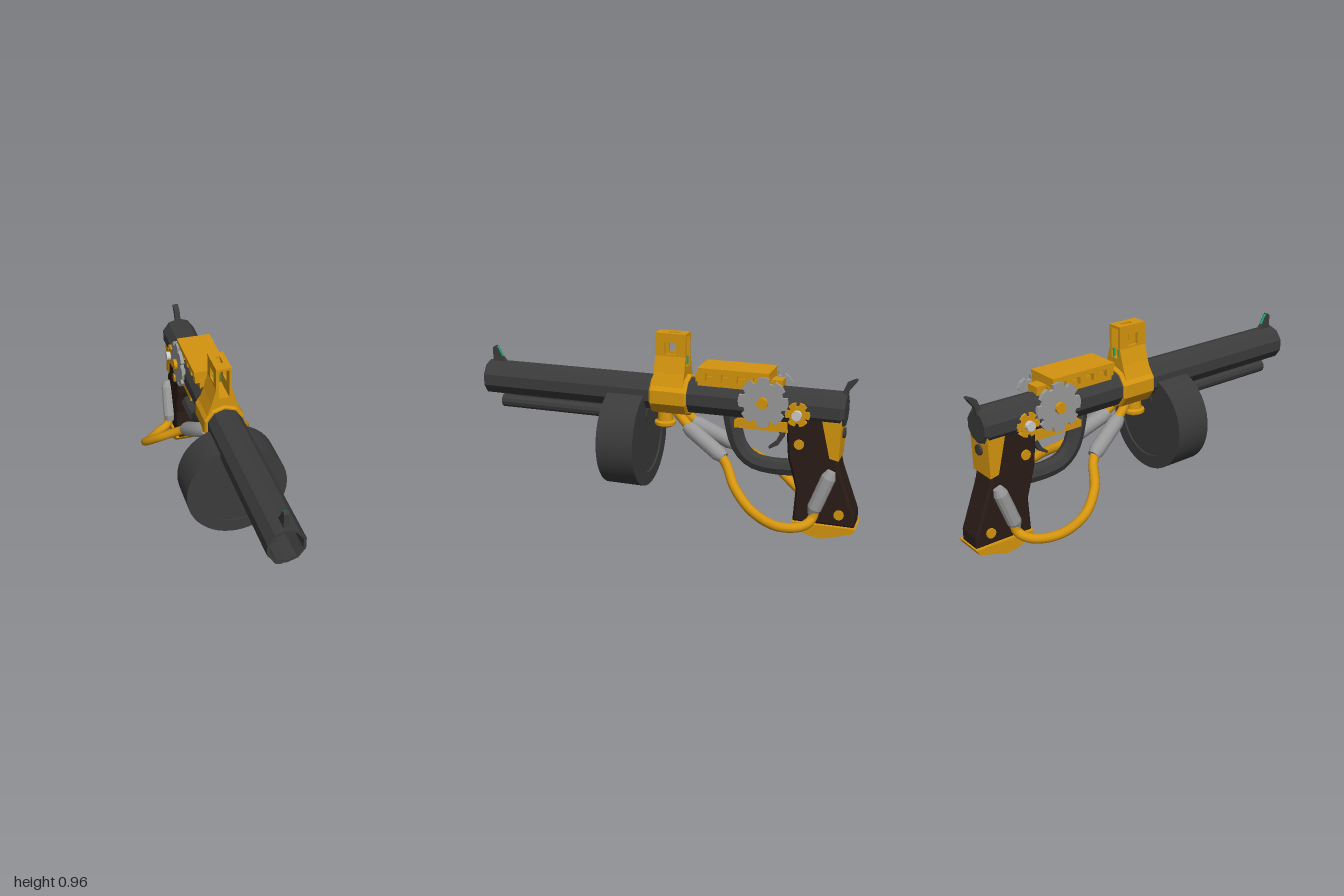
import * as THREE from 'three';
import { toCreasedNormals } from 'three/addons/utils/BufferGeometryUtils.js';

const mat = (color, smooth) => {
  const m = new THREE.MeshStandardMaterial({ color, flatShading: !smooth });
  m.color.set(color);
  return m;
};
const GOLD = 0xd4940e, DARK = 0x3b3b3b, BROWN = 0x2a1c17, GREY = 0x999999, GREEN = 0x20a870;

export function createModel() {
  const model = new THREE.Group();
  const v = (x, y, z) => new THREE.Vector3(x, y, z);

  const add = (name, geo, color, smooth = false) => {
    const mesh = new THREE.Mesh(smooth ? toCreasedNormals(geo, 0.6) : geo, mat(color, smooth));
    mesh.name = name;
    model.add(mesh);
    return mesh;
  };
  const toShape = (pts, holes = []) => {
    const s = new THREE.Shape(pts.map(p => new THREE.Vector2(...p)));
    holes.forEach(h => s.holes.push(new THREE.Path(h.map(p => new THREE.Vector2(...p)))));
    return s;
  };
  const rect = (a0, b0, a1, b1) => [[a0, b0], [a1, b0], [a1, b1], [a0, b1]];
  // Side profile in (z, y), given a width along x
  const side = (pts, width, x = 0, holes = [], bevel = 0) => {
    const depth = width - 2 * bevel;
    return new THREE.ExtrudeGeometry(toShape(pts, holes), {
      depth, bevelEnabled: bevel > 0, bevelSize: bevel, bevelThickness: bevel,
      bevelOffset: -bevel, bevelSegments: 1,
    }).translate(0, 0, -depth / 2).rotateY(-Math.PI / 2).translate(x, 0, 0);
  };
  const box = (w, h, d, x, y, z) => new THREE.BoxGeometry(w, h, d).translate(x, y, z);
  // Turned profile of [radius, z] points about a lengthwise axis
  const turned = (pts, sides, y) => new THREE.LatheGeometry(
    pts.map(p => new THREE.Vector2(...p)), sides).rotateX(Math.PI / 2).translate(0, y, 0);
  // Cylinder lying across the model
  const pin = (r, w, x, y, z, sides = 12) => new THREE.CylinderGeometry(r, r, w, sides)
    .rotateZ(Math.PI / 2).translate(x, y, z);
  const tube = (pts, r, seg = 32, sides = 12) => new THREE.TubeGeometry(
    new THREE.CatmullRomCurve3(pts), seg, r, sides);
  // Capped sleeve with tapered ends from a to b
  const sleeve = (a, b, r, end) => {
    const d = b.clone().sub(a), L = d.length();
    const pts = [[0, 0], [end, 0], [r, 0.035], [r, L - 0.035], [end, L], [0, L]];
    const g = new THREE.LatheGeometry(pts.map(p => new THREE.Vector2(...p)), 12);
    g.applyQuaternion(new THREE.Quaternion().setFromUnitVectors(v(0, 1, 0), d.normalize()));
    return g.translate(a.x, a.y, a.z);
  };
  const gear = (teeth, r0, r1, cz, cy) => {
    const pts = [];
    for (let i = 0; i < teeth; i++) {
      [[-0.32, r1], [0, r1 * 1.02], [0.32, r1], [0.38, r0], [0.62, r0]].forEach(([f, r]) => {
        const a = ((i + f) / teeth) * Math.PI * 2;
        pts.push([cz + r * Math.cos(a), cy + r * Math.sin(a)]);
      });
    }
    return pts;
  };

  // Barrel: ten-sided, hollow, with a chamfered rear
  add('barrel', turned([[0, -0.91], [0.075, -0.91], [0.0925, -0.89], [0.0925, 1],
    [0.079, 1], [0.079, -0.3], [0, -0.3]], 10, 0.65), DARK);
  add('underTube', turned([[0, 0.1], [0.036, 0.1], [0.036, 0.93], [0.032, 0.93],
    [0.032, 0.9], [0, 0.9]], 12, 0.522), DARK);
  add('underRib', box(0.024, 0.05, 0.75, 0, 0.555, 0.5), DARK);

  // Drum with a shallow dish on each face
  add('drum', turned([[0, 0.105], [0.19, 0.105], [0.19, 0.095], [0.258, 0.095], [0.258, 0.29],
    [0.19, 0.29], [0.19, 0.28], [0, 0.28]], 48, 0.405), DARK, true);

  // Sights and hammer
  add('frontSight', side([[0.9, 0.73], [0.98, 0.73], [0.98, 0.81], [0.965, 0.82],
    [0.95, 0.805], [0.93, 0.765]].reverse(), 0.024), DARK);
  add('frontSightDot', side([[0.925, 0.765], [0.935, 0.765], [0.958, 0.815],
    [0.945, 0.805]], 0.012), GREEN);
  add('hammer', side([[-0.86, 0.7], [-0.91, 0.7], [-0.915, 0.745], [-0.955, 0.8],
    [-0.945, 0.806], [-0.905, 0.785], [-0.885, 0.735]], 0.03), DARK);

  // Collar around the barrel, with the sight tower on top
  add('collar', turned([[0.09, -0.13], [0.1, -0.13], [0.108, -0.12], [0.108, 0.055], [0.1, 0.065],
    [0.09, 0.065], [0.09, -0.13]], 10, 0.65), GOLD);
  const tower = toShape([[-0.1, 0.67], [-0.06, 0.71], [0.06, 0.71], [0.1, 0.67], [0.063, 0.77],
    [0.04, 0.85], [0.027, 0.85], [0.027, 0.8], [-0.027, 0.8], [-0.027, 0.85], [-0.04, 0.85],
    [-0.063, 0.77]]);
  add('towerBase', new THREE.ExtrudeGeometry(tower, { depth: 0.16, bevelEnabled: false })
    .translate(0, 0, -0.11), GOLD);
  for (const s of [1, -1]) {
    add('towerWall', side(rect(-0.11, 0.85, 0.05, 0.965), 0.013, s * 0.0335,
      [rect(-0.06, 0.86, 0, 0.92)]), GOLD);
    add('rearSightDot', box(0.008, 0.05, 0.01, s * 0.019, 0.82, -0.1), GREEN);
  }
  const roof = toShape(rect(-0.04, -0.05, 0.04, 0.11), [rect(-0.012, 0.01, 0.012, 0.07)]);
  add('towerRoof', new THREE.ExtrudeGeometry(roof, { depth: 0.013, bevelEnabled: false })
    .rotateX(-Math.PI / 2).translate(0, 0.952, 0), GOLD);
  add('clampKnob', new THREE.LatheGeometry([[0, 0.475], [0.04, 0.475], [0.055, 0.485], [0.055, 0.5],
    [0.04, 0.507], [0.036, 0.555], [0.025, 0.56], [0.025, 0.62], [0, 0.62]]
    .map(p => new THREE.Vector2(...p)), 16).translate(0, 0, 0.01), GOLD, true);

  // Slotted top rail
  add('railSpine', box(0.07, 0.05, 0.44, 0, 0.75, -0.38), GOLD);
  add('railBase', box(0.12, 0.05, 0.37, 0, 0.745, -0.365), GOLD);
  add('railCore', box(0.1, 0.06, 0.36, 0, 0.77, -0.365), GOLD);
  add('railTop', box(0.18, 0.025, 0.36, 0, 0.805, -0.365), GOLD);
  for (let i = 0; i < 5; i++)
    add('railTooth', box(0.17, 0.045, 0.04, 0, 0.775, -0.205 - i * 0.08), GOLD);

  // Frame, trigger and guard
  add('framePlate', side([[-0.37, 0.525], [-0.37, 0.56], [-0.42, 0.575], [-0.72, 0.575],
    [-0.76, 0.56], [-0.76, 0.525]], 0.13), GOLD);
  add('triggerGuard', tube([v(0, 0.6, -0.335), v(0, 0.52, -0.35), v(0, 0.41, -0.385),
    v(0, 0.345, -0.45), v(0, 0.325, -0.54), v(0, 0.33, -0.7)], 0.045, 14, 8), DARK);
  add('trigger', side([[-0.58, 0.54], [-0.62, 0.54], [-0.61, 0.48], [-0.585, 0.44], [-0.54, 0.415],
    [-0.535, 0.425], [-0.57, 0.455], [-0.59, 0.495]], 0.03), DARK);

  // Grip with gold butt cap and back plate
  add('grip', side([[-0.63, 0.58], [-0.645, 0.4], [-0.69, 0.24], [-0.68, 0.07], [-0.985, 0.07],
    [-0.985, 0.13], [-0.9, 0.36], [-0.87, 0.48], [-0.81, 0.62]], 0.14, 0, [], 0.012), BROWN);
  add('buttCap', side([[-0.675, 0.07], [-0.7, 0.04], [-0.76, 0.01], [-0.83, 0], [-0.98, 0.045],
    [-0.995, 0.072]], 0.16), GOLD);
  add('backPlate', side([[-0.8, 0.63], [-0.85, 0.42], [-0.895, 0.41], [-0.9, 0.63]], 0.15), GOLD);
  add('backScrew', new THREE.CylinderGeometry(0.026, 0.026, 0.02, 12)
    .rotateX(Math.PI / 2).translate(0, 0.535, -0.9), DARK);

  for (const s of [1, -1]) {
    // Gears and their pins
    add('largeGear', side(gear(8, 0.1, 0.122, -0.52, 0.675), 0.02, s * 0.092), GREY);
    add('largeGearBolt', pin(0.028, 0.04, s * 0.1, 0.675, -0.52), GOLD);
    add('smallGear', side(gear(6, 0.043, 0.06, -0.69, 0.63), 0.025, s * 0.085), GOLD);
    add('smallGearPin', pin(0.024, 0.06, s * 0.09, 0.63, -0.69), 0xdddddd);
    // Grip screws
    add('gripScrew', pin(0.025, 0.02, s * 0.07, 0.475, -0.7), GOLD);
    add('gripScrew', pin(0.025, 0.02, s * 0.07, 0.135, -0.91), GOLD);
    // Cable looping from the collar to the grip
    add('cable', tube([v(s * 0.03, 0.58, -0.05), v(s * 0.045, 0.52, -0.11), v(s * 0.08, 0.43, -0.24),
      v(s * 0.12, 0.365, -0.34), v(s * 0.24, 0.275, -0.43), v(s * 0.292, 0.19, -0.53),
      v(s * 0.255, 0.115, -0.64), v(s * 0.17, 0.09, -0.745), v(s * 0.105, 0.11, -0.785),
      v(s * 0.092, 0.18, -0.8)], 0.024, 60), GOLD, true);
    add('upperSleeve', sleeve(v(s * 0.045, 0.5, -0.12), v(s * 0.11, 0.375, -0.335), 0.04, 0.03), GREY, true);
    add('lowerSleeve', sleeve(v(s * 0.092, 0.13, -0.78), v(s * 0.082, 0.36, -0.865), 0.036, 0.022), GREY);
  }
  return model;
}
